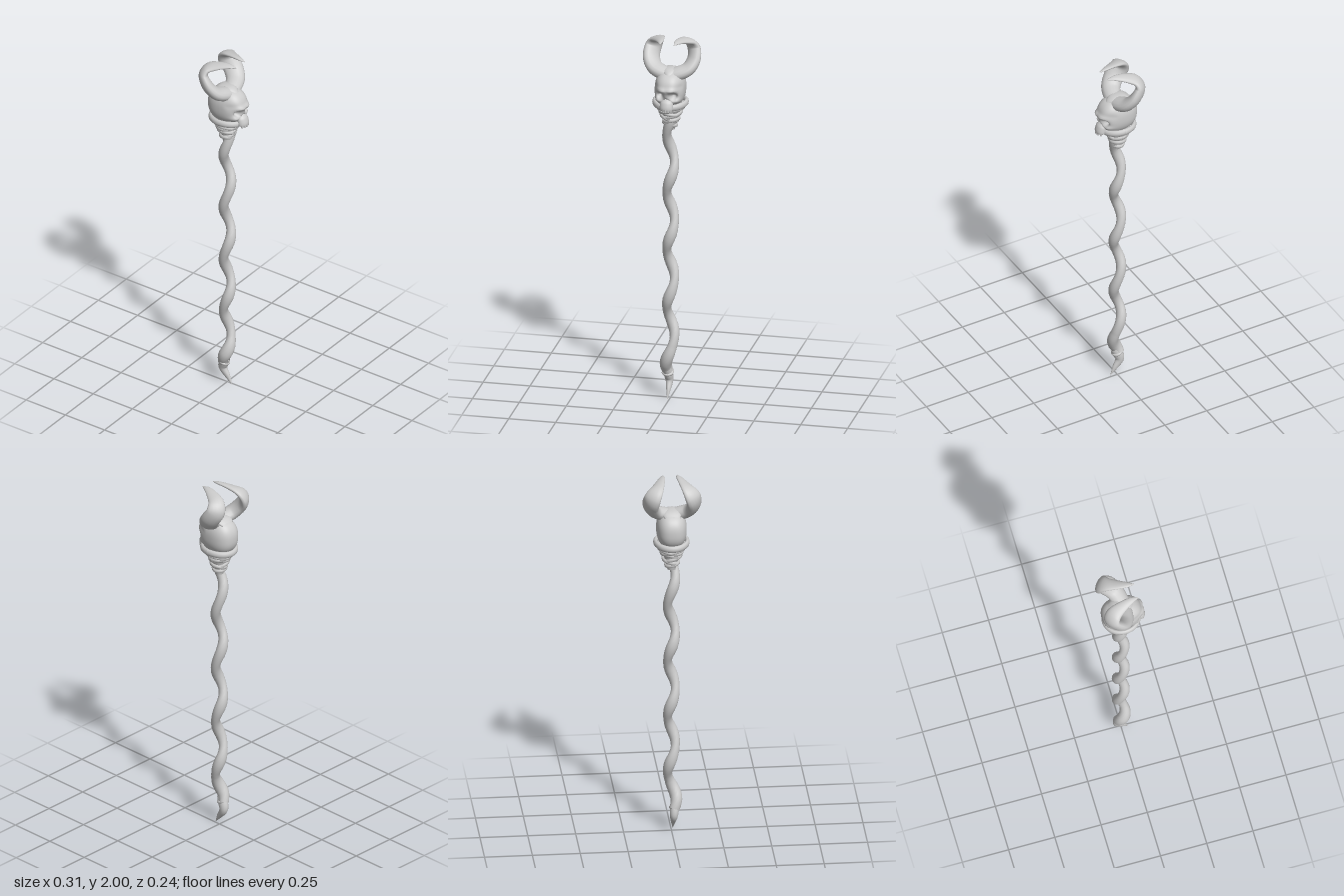
import * as THREE from 'three';

const V = (x, y, z) => new THREE.Vector3(x, y, z);
const mat = new THREE.MeshStandardMaterial({ color: 0xcccccc, side: THREE.DoubleSide });

function add(group, name, geometry) {
  const mesh = new THREE.Mesh(geometry, mat);
  mesh.name = name;
  group.add(mesh);
  return mesh;
}

// Sweeps an ellipse along rows of [x, y, z, a, b]; a lies along the direction
// given by ref(centre, t), b lies across it.
function sweep(rows, ref, steps, sides, closed = false) {
  const path = new THREE.CatmullRomCurve3(rows.map(r => V(r[0], r[1], r[2])), closed);
  const size = new THREE.CatmullRomCurve3(rows.map(r => V(r[3], r[4], 0)), closed);
  const pos = [], idx = [], w = sides;
  for (let i = 0; i <= steps; i++) {
    const t = i / steps, c = path.getPoint(t), T = path.getTangent(t), s = size.getPoint(t);
    const N = ref(c, t).clone();
    N.addScaledVector(T, -N.dot(T)).normalize();
    const B = T.clone().cross(N);
    for (let j = 0; j < w; j++) {
      const a = j / w * Math.PI * 2;
      const p = c.clone().addScaledVector(N, Math.cos(a) * s.x).addScaledVector(B, Math.sin(a) * s.y);
      pos.push(p.x, p.y, p.z);
      if (i < steps) {
        const k = i * w + j, n = i * w + (j + 1) % w;
        idx.push(k, n, k + w, n, n + w, k + w);
      }
    }
  }
  const g = new THREE.BufferGeometry();
  g.setAttribute('position', new THREE.Float32BufferAttribute(pos, 3));
  g.setIndex(idx);
  g.computeVertexNormals();
  return g;
}

// Cranium: a boxy ball with a flat base, hollow eyes and nose, brow and cheekbones
function skullGeometry() {
  const g = new THREE.SphereGeometry(1, 56, 44);
  const p = g.attributes.position;
  const box = (v, e) => Math.sign(v) * Math.abs(v) ** e;
  const bump = (x, y, cx, cy, rx, ry) => Math.exp(-(((x - cx) / rx) ** 2) - ((y - cy) / ry) ** 2);
  for (let i = 0; i < p.count; i++) {
    let x = box(p.getX(i), 0.8) * 0.079;
    let y = 1.72 + box(p.getY(i), 0.85) * 0.1;
    let z = 0.004 + box(p.getZ(i), 0.85) * 0.108;
    if (z > 0.02) {
      const ax = Math.abs(x), k = Math.min(1, (z - 0.02) / 0.04);
      z += k * 0.014 * bump(ax, y, 0.025, 1.735, 0.035, 0.012);
      z += k * 0.012 * bump(ax, y, 0.058, 1.675, 0.018, 0.012);
      z -= k * 0.042 * bump(ax, y, 0.035, 1.704, 0.017, 0.017);
      z -= k * 0.03 * bump(ax, y, 0, 1.672, 0.01, 0.014);
      z -= k * 0.012 * bump(ax, y, 0.07, 1.745, 0.02, 0.02);
    }
    y = Math.max(y, 1.635);
    p.setXYZ(i, x, y, z);
  }
  g.computeVertexNormals();
  return g;
}

export function createModel() {
  const model = new THREE.Group();
  model.name = 'skullStaff';

  // Twisted shaft: a helix that swells at its foot
  const shaft = [];
  for (let i = 0; i <= 72; i++) {
    const y = 0.13 + (1.55 - 0.13) * i / 72;
    const phi = (1.29 - y) / 0.318 * Math.PI * 2;
    const foot = Math.max(0, 1 - Math.abs(y - 0.18) / 0.1);
    const R = 0.02 + 0.006 * foot;
    const knot = 0.002 * Math.sin(y * 37);
    shaft.push([R * Math.cos(phi), y, R * Math.sin(phi), 0.025 + knot + 0.006 * foot, 0.028 + knot + 0.006 * foot]);
  }
  add(model, 'shaft', sweep(shaft, (c) => {
    const phi = (1.29 - c.y) / 0.318 * Math.PI * 2;
    return V(Math.cos(phi), 0, Math.sin(phi));
  }, 220, 14));

  // Claw at the foot, curving forward, with a lip where it meets the shaft
  add(model, 'footClaw', sweep([
    [-0.022, 0.16, 0.004, 0.024, 0.026], [-0.015, 0.125, -0.012, 0.024, 0.028],
    [-0.011, 0.09, -0.02, 0.021, 0.024], [-0.01, 0.045, 0.008, 0.012, 0.015],
    [-0.01, 0.0, 0.036, 0.001, 0.001]], () => V(1, 0, 0), 24, 14));
  const lip = add(model, 'footLip', new THREE.TorusGeometry(0.024, 0.008, 8, 20));
  lip.position.set(-0.017, 0.135, -0.007);
  lip.rotation.x = Math.PI / 2 + 0.35;

  // Tapered socket under the skull
  const socket = [[0.022, 1.49], [0.03, 1.52], [0.036, 1.55], [0.05, 1.59], [0.066, 1.615], [0.08, 1.635], [0, 1.637]];
  add(model, 'socket', new THREE.LatheGeometry(socket.map(([r, y]) => new THREE.Vector2(r, y)), 24));

  // Crossing straps: [height, radius, tilt, turn]
  const straps = [
    [1.602, 0.064, 0.24, 0.2], [1.595, 0.06, -0.28, 0.5], [1.575, 0.051, 0.3, -0.5],
    [1.555, 0.045, -0.35, 0.1], [1.54, 0.041, 0.3, 0.4], [1.522, 0.036, -0.25, -0.3]];
  for (const [y0, r, tilt, turn] of straps) {
    const rows = [];
    for (let i = 0; i < 16; i++) {
      const a = i / 16 * Math.PI * 2, lift = Math.cos(a - turn) * r * tilt;
      const rr = r + lift * 0.45;
      rows.push([rr * Math.cos(a), y0 + lift, rr * Math.sin(a), 0.006, 0.01]);
    }
    add(model, 'strap', sweep(rows, c => V(c.x, 0, c.z), 40, 8, true));
  }

  // Thick collar round the base of the skull
  const collar = [];
  for (let i = 0; i < 16; i++) {
    const a = i / 16 * Math.PI * 2;
    collar.push([0.083 * Math.cos(a), 1.64 + 0.003 * Math.cos(a * 2), 0.002 + 0.091 * Math.sin(a), 0.012, 0.018]);
  }
  add(model, 'collar', sweep(collar, c => V(c.x, 0, c.z), 56, 10, true));

  // Skull and upper jaw with a row of teeth
  add(model, 'skull', skullGeometry());
  add(model, 'upperJaw', sweep([
    [0, 1.69, 0.085, 0.002, 0.002], [0, 1.685, 0.088, 0.018, 0.012], [0, 1.665, 0.094, 0.034, 0.026],
    [0, 1.64, 0.1, 0.036, 0.029], [0, 1.63, 0.1, 0.034, 0.027], [0, 1.629, 0.1, 0.001, 0.001]],
  () => V(1, 0, 0), 24, 20));
  for (let i = -2; i <= 2; i++) {
    const tooth = add(model, 'tooth', new THREE.CapsuleGeometry(0.006, 0.014, 4, 8));
    tooth.position.set(i * 0.0125, 1.631, 0.124 - 0.0028 * i * i);
  }

  // Horns: broad blades that sweep out, back, up and then forward to the tips
  const horn = [
    [0, 1.792, 0.012, 0.034, 0.045], [0.045, 1.803, 0.006, 0.036, 0.047], [0.09, 1.825, -0.012, 0.034, 0.05],
    [0.113, 1.868, -0.045, 0.03, 0.052], [0.107, 1.92, -0.077, 0.024, 0.05], [0.088, 1.958, -0.064, 0.018, 0.043],
    [0.064, 1.978, -0.012, 0.012, 0.03], [0.045, 1.986, 0.045, 0.008, 0.017], [0.038, 1.984, 0.083, 0.002, 0.003]];
  for (const s of [1, -1]) {
    const hub = V(0.03 * s, 1.9, 0.02);
    add(model, s > 0 ? 'leftHorn' : 'rightHorn', sweep(
      horn.map(([x, ...rest]) => [x * s, ...rest]), c => c.clone().sub(hub), 40, 16));
  }

  // Pointed brow plate between the horns
  add(model, 'browPlate', sweep([
    [0, 1.8, -0.06, 0.04, 0.012], [0, 1.812, -0.03, 0.05, 0.018], [0, 1.815, 0.02, 0.045, 0.018],
    [0, 1.805, 0.05, 0.025, 0.014], [0, 1.79, 0.075, 0.002, 0.004]], () => V(1, 0, 0), 20, 14));

  return model;
}
